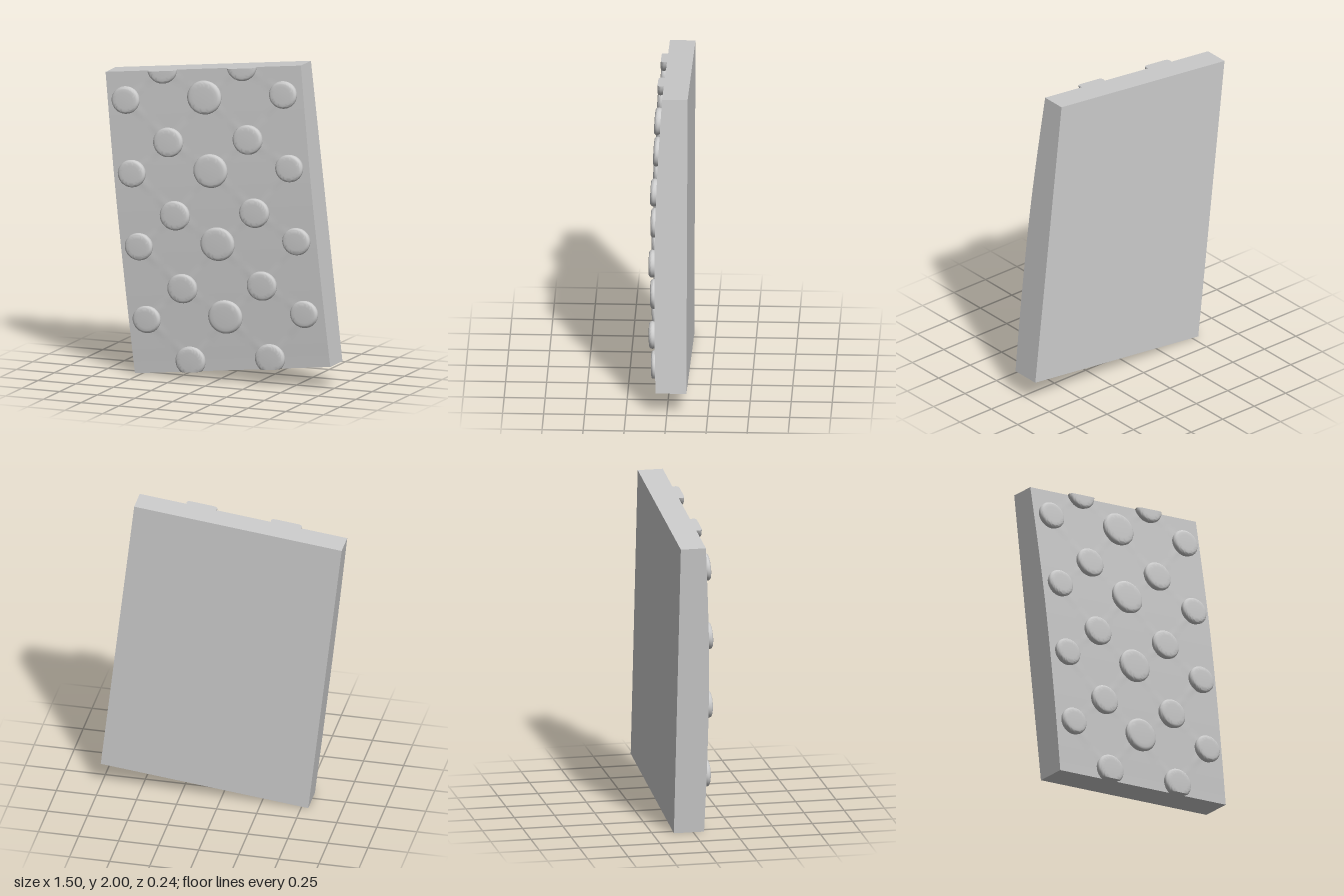
import * as THREE from 'three';
import { toCreasedNormals } from 'three/addons/utils/BufferGeometryUtils.js';

const W = 1.303, H = 1.864, BACK = -0.12, STEP = 0.452, SQUASH = 0.93;

// Gently bowed front surface, falling away towards the top
const bow = new THREE.CatmullRomCurve3([
  [-0.932, 0.068], [-0.6, 0.075], [-0.2, 0.078], [0.2, 0.073], [0.55, 0.058], [0.932, 0.036],
].map(([v, z]) => new THREE.Vector3(0, v, z)));
const bowPoints = bow.getPoints(80);
function surfaceZ(v) {
  let i = 1;
  while (i < bowPoints.length - 1 && bowPoints[i].y < v) i++;
  const a = bowPoints[i - 1], b = bowPoints[i];
  const t = THREE.MathUtils.clamp((v - a.y) / (b.y - a.y), 0, 1);
  return a.z + (b.z - a.z) * t;
}

// Staggered stud layout: large centre column, medium pairs, small outer pairs
function studLayout() {
  const studs = [];
  for (let i = 0; i < 4; i++) {
    const v = 0.759 - i * STEP;
    studs.push({ u: 0, v, r: 0.112 }, { u: -0.525, v, r: 0.091 }, { u: 0.525, v, r: 0.091 });
  }
  for (let i = 0; i < 5; i++) {
    const v = 0.943 - i * STEP;
    studs.push({ u: -0.265, v, r: 0.098 }, { u: 0.265, v, r: 0.098 });
  }
  return studs;
}

// Faint creases running between neighbouring studs
function creaseLines(studs) {
  const lines = [];
  studs.forEach((a, i) => studs.slice(i + 1).forEach((b) => {
    const du = b.u - a.u, dv = b.v - a.v, len = Math.hypot(du, dv);
    if (len < 0.4) lines.push({ a, du: du / len, dv: dv / len, len });
  }));
  return lines;
}
function creaseHeight(u, v, lines) {
  let h = 0;
  for (const { a, du, dv, len } of lines) {
    const along = (u - a.u) * du + (v - a.v) * dv;
    if (along < 0 || along > len) continue;
    const off = Math.abs((u - a.u) * dv - (v - a.v) * du);
    const fade = Math.abs(2 * along / len - 1);
    h = Math.max(h, 0.005 * fade * Math.max(0, 1 - off / 0.03));
  }
  return h;
}

function makePlate(studs, material) {
  const geometry = new THREE.BoxGeometry(W, H, 1, 78, 112, 1);
  const p = geometry.attributes.position;
  const lines = creaseLines(studs);
  for (let i = 0; i < p.count; i++) {
    const u = p.getX(i), v = p.getY(i);
    const inner = Math.abs(u) < W / 2 - 0.001 && Math.abs(v) < H / 2 - 0.001;
    const crease = inner ? creaseHeight(u, v, lines) : 0;
    p.setZ(i, p.getZ(i) < 0 ? BACK : surfaceZ(v) + crease);
  }
  geometry.computeVertexNormals();
  const plate = new THREE.Mesh(geometry, material);
  plate.name = 'plate';
  return plate;
}

// Rounded puck, trimmed flush with the top and bottom edges of the plate
function makeStud({ u, v, r }, material) {
  const profile = [
    [0.93, -0.01], [0.96, 0.006], [0.99, 0.013], [1, 0.019], [0.985, 0.026],
    [0.94, 0.032], [0.88, 0.036], [0.8, 0.038], [0.6, 0.039], [0, 0.039],
  ].map(([x, y]) => new THREE.Vector2(x * r, y));
  const geometry = new THREE.LatheGeometry(profile, 48).rotateX(Math.PI / 2);
  const p = geometry.attributes.position;
  const limit = H / 2;
  for (let i = 0; i < p.count; i++) {
    let x = p.getX(i), y = v + p.getY(i) * SQUASH;
    if (Math.abs(y) > limit) {
      // Keep trimmed points within the chord of their own ring
      const ring = Math.hypot(x, p.getY(i));
      const gap = (limit - Math.abs(v)) / SQUASH;
      const chord = Math.sqrt(Math.max(0, ring * ring - gap * gap));
      x = THREE.MathUtils.clamp(x, -chord, chord);
      y = Math.sign(y) * limit;
    }
    p.setXYZ(i, u + x, y, surfaceZ(y) + p.getZ(i));
  }
  const stud = new THREE.Mesh(toCreasedNormals(geometry, 0.9), material);
  stud.name = 'stud';
  return stud;
}

export function createModel() {
  const material = new THREE.MeshStandardMaterial({ color: 0xcccccc });
  const studs = studLayout();

  const studGroup = new THREE.Group();
  studGroup.name = 'studs';
  studs.forEach((s) => studGroup.add(makeStud(s, material)));

  // The whole slab leans to one side, resting on one corner
  const slab = new THREE.Group();
  slab.name = 'studdedSlab';
  slab.add(makePlate(studs, material), studGroup);
  slab.rotation.z = Math.atan2(0.146, 1.295);
  slab.position.y = 1;

  const model = new THREE.Group();
  model.name = 'studdedPanel';
  model.add(slab);
  return model;
}
